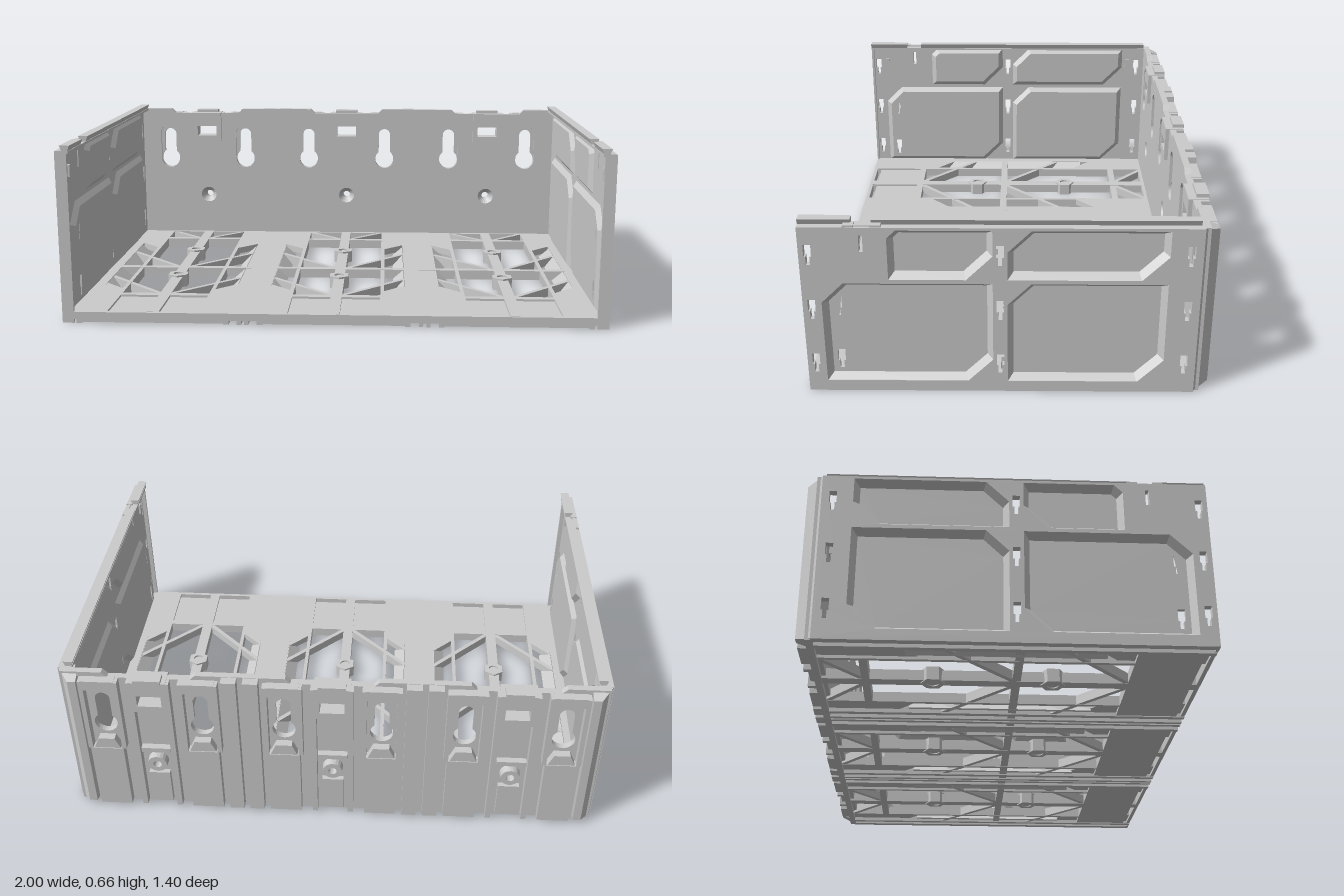
import * as THREE from 'three';

const mat = new THREE.MeshStandardMaterial({ color: 0xcccccc, flatShading: true });
const thin = new THREE.MeshStandardMaterial({ color: 0xcccccc, flatShading: true, side: THREE.DoubleSide });
const MODULES = [-0.667, 0, 0.667];

function add(parent, name, geo, material = mat) {
  const m = new THREE.Mesh(geo, material);
  m.name = name;
  parent.add(m);
  return m;
}
// box given by its limits on each axis, in any order
function box(parent, name, x0, x1, y0, y1, z0, z1) {
  const g = new THREE.BoxGeometry(Math.abs(x1 - x0), Math.abs(y1 - y0), Math.abs(z1 - z0));
  return add(parent, name, g.translate((x0 + x1) / 2, (y0 + y1) / 2, (z0 + z1) / 2));
}
const poly = pts => pts.map(p => new THREE.Vector2(p[0], p[1]));
const rect = (a, b, c, d) => poly([[a, c], [b, c], [b, d], [a, d]]);
const circle = (x, y, r) => new THREE.Path().absarc(x, y, r, 0, Math.PI * 2).getPoints(10).slice(0, -1);

function plate(outline, holes, depth) {
  const s = new THREE.Shape(outline);
  s.holes = holes.map(h => new THREE.Path(h));
  return new THREE.ExtrudeGeometry(s, { depth, bevelEnabled: false });
}
// outline in (x, z), top surface at yTop
const flat = (outline, holes, yTop, depth) =>
  plate(outline, holes, depth).rotateX(Math.PI / 2).translate(0, yTop, 0);
// outline in (z, y), outer face at side * xOuter
const upright = (outline, holes, side, xOuter, depth) =>
  plate(outline, holes, depth).rotateY(-Math.PI / 2).translate(side > 0 ? xOuter : depth - xOuter, 0, 0);

// moves every edge of a counter-clockwise polygon inwards by d
function inset(pts, d) {
  const n = pts.length;
  return pts.map((p, i) => {
    const a = p.clone().sub(pts[(i + n - 1) % n]).normalize();
    const b = pts[(i + 1) % n].clone().sub(p).normalize();
    const na = new THREE.Vector2(-a.y, a.x), nb = new THREE.Vector2(-b.y, b.x);
    return p.clone().addScaledVector(na.clone().add(nb), d / (1 + na.dot(nb)));
  });
}
// sloped rim joining two rings in (z, y) at two x positions
function rim(outer, inner, x0, x1) {
  const v = [], n = outer.length;
  for (let i = 0; i < n; i++) {
    const j = (i + 1) % n;
    const q = [[x0, outer[i]], [x0, outer[j]], [x1, inner[j]], [x1, inner[i]]];
    for (const k of [0, 1, 2, 0, 2, 3]) v.push(q[k][0], q[k][1].y, q[k][1].x);
  }
  const g = new THREE.BufferGeometry();
  g.setAttribute('position', new THREE.Float32BufferAttribute(v, 3));
  g.computeVertexNormals();
  return g;
}

function floor() {
  const g = new THREE.Group();
  g.name = 'floor';
  const holes = [];
  for (const c of MODULES) {
    holes.push(rect(c - 0.17, c + 0.17, -0.625, 0.44));
    holes.push(rect(c - 0.17, c + 0.17, 0.47, 0.685));
    for (const s of [-1, 1]) {
      const a = c + s * 0.185, b = c + s * 0.267;
      holes.push(poly([[a, -0.3], [b, -0.38], [b, 0.03], [a, 0.03]]));
      holes.push(poly([[a, 0.06], [b, 0.06], [b, 0.3], [a, 0.38]]));
    }
  }
  add(g, 'floorSheet', flat(rect(-0.985, 0.985, -0.645, 0.7), holes, 0.042, 0.027));
  box(g, 'middleCrossBar', -0.94, 0.94, 0.005, 0.043, 0.03, 0.06);

  for (const c of MODULES) {
    box(g, 'centreRib', c - 0.022, c + 0.022, 0.004, 0.043, -0.64, 0.69);
    box(g, 'rearCrossBar', c - 0.17, c + 0.17, 0.004, 0.042, -0.5, -0.472);
    box(g, 'recessedFrontPanel', c - 0.17, c + 0.17, 0.012, 0.034, 0.465, 0.668);
    box(g, 'frontUnderPlate', c - 0.27, c + 0.27, 0.004, 0.016, 0.44, 0.668);
    box(g, 'frontLip', c - 0.27, c + 0.27, 0.004, 0.016, 0.685, 0.7);
    // hexagonal screw bosses
    for (const z of [-0.25, 0.175]) {
      const hex = r => Array.from({ length: 6 }, (_, i) => new THREE.Vector2(
        c + r * Math.cos((i + 0.5) * Math.PI / 3), z + r * Math.sin((i + 0.5) * Math.PI / 3)));
      add(g, 'floorBoss', flat(hex(0.044), [circle(c, z, 0.021)], 0.05, 0.05));
    }
    for (const s of [-1, 1]) {
      // diagonal braces running outwards and to the rear
      for (const [x0, z0, x1, z1] of [[0.015, -0.49, 0.17, -0.635], [0.015, 0.04, 0.267, -0.215], [0.015, 0.445, 0.267, 0.195]]) {
        const dx = s * (x1 - x0), dz = z1 - z0;
        const b = new THREE.BoxGeometry(Math.hypot(dx, dz), 0.036, 0.018);
        b.rotateY(Math.atan2(-dz, dx));
        add(g, 'diagonalBrace', b.translate(c + s * (x0 + x1) / 2, 0.023, (z0 + z1) / 2));
      }
      // sloping flange inside each side opening
      const w = new THREE.BoxGeometry(0.058, 0.006, 0.68).rotateZ(s * 0.72);
      add(g, 'openingFlange', w.translate(c + s * 0.245, 0.021, 0));
      box(g, 'openingRib', c + s * 0.17, c + s * 0.185, 0.004, 0.04, -0.64, 0.44);
      // strips that leave guide grooves between them underneath
      for (const [a, b] of [[0.262, 0.282], [0.312, 0.333]])
        box(g, 'guideStrip', c + s * a, c + s * Math.min(b, 0.328), 0, 0.016, -0.64, 0.7);
    }
  }
  return g;
}

function sideWall(side) {
  const g = new THREE.Group();
  g.name = side > 0 ? 'leftWall' : 'rightWall';
  // recessed panels: front z, rear z, bottom y, top y, upper corner cut, lower corner cut
  const panels = [[0.405, 0.055, 0.445, 0.63, 0.03, 0.09], [0.005, -0.535, 0.445, 0.63, 0.08, 0.09],
    [0.635, 0.055, 0.04, 0.43, 0.075, 0.09], [0.005, -0.535, 0.04, 0.43, 0.08, 0.09]]
    .map(([f, r, b, t, u, l]) => poly([[r + l, b], [f, b], [f, t - u], [f - u, t], [r, t], [r, b + l]]));
  const slot = (z, t) => poly([[z - 0.013, t], [z - 0.013, t - 0.045], [z - 0.007, t - 0.045], [z - 0.007, t - 0.075],
    [z + 0.007, t - 0.075], [z + 0.007, t - 0.045], [z + 0.013, t - 0.045], [z + 0.013, t]]);
  const slots = [rect(0.484, 0.497, 0.55, 0.612)];
  for (const z of [0.67, 0.03, -0.605]) for (const t of [0.575, 0.365, 0.152]) slots.push(slot(z, t));
  add(g, 'wallSheet', upright(rect(-0.645, 0.7, 0, 0.64), [...panels, ...slots], side, 1, 0.025));
  panels.forEach((p, i) => {
    const q = inset(p, 0.02);
    const cut = i === 2 ? [slot(0.585, 0.365), slot(0.585, 0.152)] : [];
    add(g, 'panelFloor', upright(q, cut, side, 0.972, 0.014));
    add(g, 'panelBevel', rim(p, q, side, side * 0.972), thin);
    add(g, 'panelInnerBevel', rim(p, q, side * 0.975, side * 0.958), thin);
  });
  // edge stiffeners
  box(g, 'topFlange', side * 0.95, side, 0.631, 0.64, -0.645, 0.7);
  box(g, 'frontPost', side * 0.957, side * 0.999, 0, 0.64, 0.69, 0.7);
  box(g, 'bottomFlange', side * 0.975, side, 0, 0.042, -0.645, 0.7);
  // dovetail rail on top, broken by a gap for the latch
  for (const [z0, z1] of [[-0.635, 0.455], [0.525, 0.7]]) {
    const pts = poly([[-0.009, 0.635], [0.009, 0.635], [0.018, 0.66], [-0.018, 0.66]]);
    add(g, 'topRail', plate(pts, [], z1 - z0).translate(side * 0.963, 0, z0));
  }
  for (const z of [0.44, 0.53])
    box(g, 'latchBlock', side * 0.972, side * 0.998, 0.62, 0.648, z - 0.018, z + 0.018);
  box(g, 'latchBar', side * 0.98, side * 0.992, 0.63, 0.645, 0.44, 0.53);
  for (const z of [0.625, -0.56])
    box(g, 'smallCatch', side * 0.966, side * 1, 0.535, 0.58, z - 0.01, z + 0.01);
  return g;
}

function backWall() {
  const g = new THREE.Group();
  g.name = 'backWall';
  // top edge dips at every clip
  const edge = [[-0.99, 0], [0.99, 0], [0.99, 0.64]];
  for (const c of [...MODULES].reverse())
    edge.push([c + 0.17, 0.64], [c + 0.15, 0.62], [c - 0.15, 0.62], [c - 0.17, 0.64]);
  edge.push([-0.99, 0.64]);
  const keyhole = (x, r, w, top) => {
    const a = Math.acos(w / r);
    return new THREE.Path().absarc(x, 0.402, r, a, Math.PI - a, true)
      .absarc(x, top - w, w, Math.PI, 0, true).getPoints(10);
  };
  const front = [], rear = [];
  for (const c of MODULES) {
    const win = rect(c - 0.045, c + 0.045, 0.513, 0.56);
    front.push(win, circle(c, 0.225, 0.038));
    rear.push(win, circle(c, 0.225, 0.038));
    for (const s of [-1, 1]) {
      front.push(keyhole(c + s * 0.181, 0.0435, 0.043, 0.567));
      rear.push(keyhole(c + s * 0.181, 0.043, 0.027, 0.545));
    }
  }
  add(g, 'backInnerSheet', plate(poly(edge), front, 0.012).translate(0, 0, -0.652));
  add(g, 'backOuterSheet', plate(poly(edge), rear, 0.013).translate(0, 0, -0.665));

  for (const c of MODULES) {
    // clip housing with a window
    add(g, 'clipHousing', plate(rect(c - 0.067, c + 0.067, 0.485, 0.622),
      [rect(c - 0.045, c + 0.045, 0.513, 0.56)], 0.072).translate(0, 0, -0.697));
    box(g, 'clipHead', c - 0.05, c + 0.05, 0.615, 0.634, -0.7, -0.655);
    // countersunk screw sleeve
    const sleeve = poly([[0.016, 0], [0.016, 0.03], [0.036, 0.056], [0.04, 0.056], [0.036, 0], [0.016, 0]]);
    add(g, 'screwSleeve', new THREE.LatheGeometry(sleeve, 20).rotateX(Math.PI / 2).translate(c, 0.225, -0.696), thin);
    box(g, 'clipColumnPad', c - 0.04, c + 0.04, 0.02, 0.17, -0.685, -0.66);
    box(g, 'clipColumnBar', c - 0.055, c + 0.055, 0.28, 0.3, -0.69, -0.66);
    for (const s of [-1, 1]) {
      box(g, 'clipColumnRib', c + s * 0.058, c + s * 0.078, 0.01, 0.62, -0.697, -0.66);
      // raised pad and ledge under each keyhole, ribs beside it
      const x = c + s * 0.181;
      box(g, 'keyholePad', x - 0.06, x + 0.06, 0.01, 0.3, -0.698, -0.66);
      const ledge = plate(poly([[-0.05, 0.3], [0.05, 0.3], [0.03, 0.345], [-0.03, 0.345]]), [], 0.034);
      add(g, 'keyholeLedge', ledge.translate(x, 0, -0.695));
      for (const k of [-1, 1])
        box(g, 'keyholeRib', x + k * 0.055, x + k * 0.072, 0.3, 0.62, -0.698, -0.66);
      box(g, 'keyholeLintel', x - 0.06, x + 0.06, 0.58, 0.622, -0.698, -0.66);
      if (Math.abs(c + s * 0.3) < 0.9)
        box(g, 'jointPad', c + s * 0.266, c + s * 0.322, 0.01, 0.638, -0.7, -0.66);
    }
  }
  // bevelled corner posts, trimmed at top and bottom
  for (const s of [-1, 1]) {
    const post = flat(poly([[s, -0.64], [s * 0.955, -0.7], [s * 0.925, -0.7], [s * 0.925, -0.64]]), [], 0.64, 0.64);
    const p = post.attributes.position;
    for (let i = 0; i < p.count; i++)
      if (p.getZ(i) < -0.69) p.setY(i, p.getY(i) > 0.3 ? 0.62 : 0.02);
    post.computeVertexNormals();
    add(g, 'cornerPost', post);
  }
  return g;
}

export function createModel() {
  const model = new THREE.Group();
  model.name = 'openTray';
  model.add(floor(), backWall(), sideWall(1), sideWall(-1));
  return model;
}
